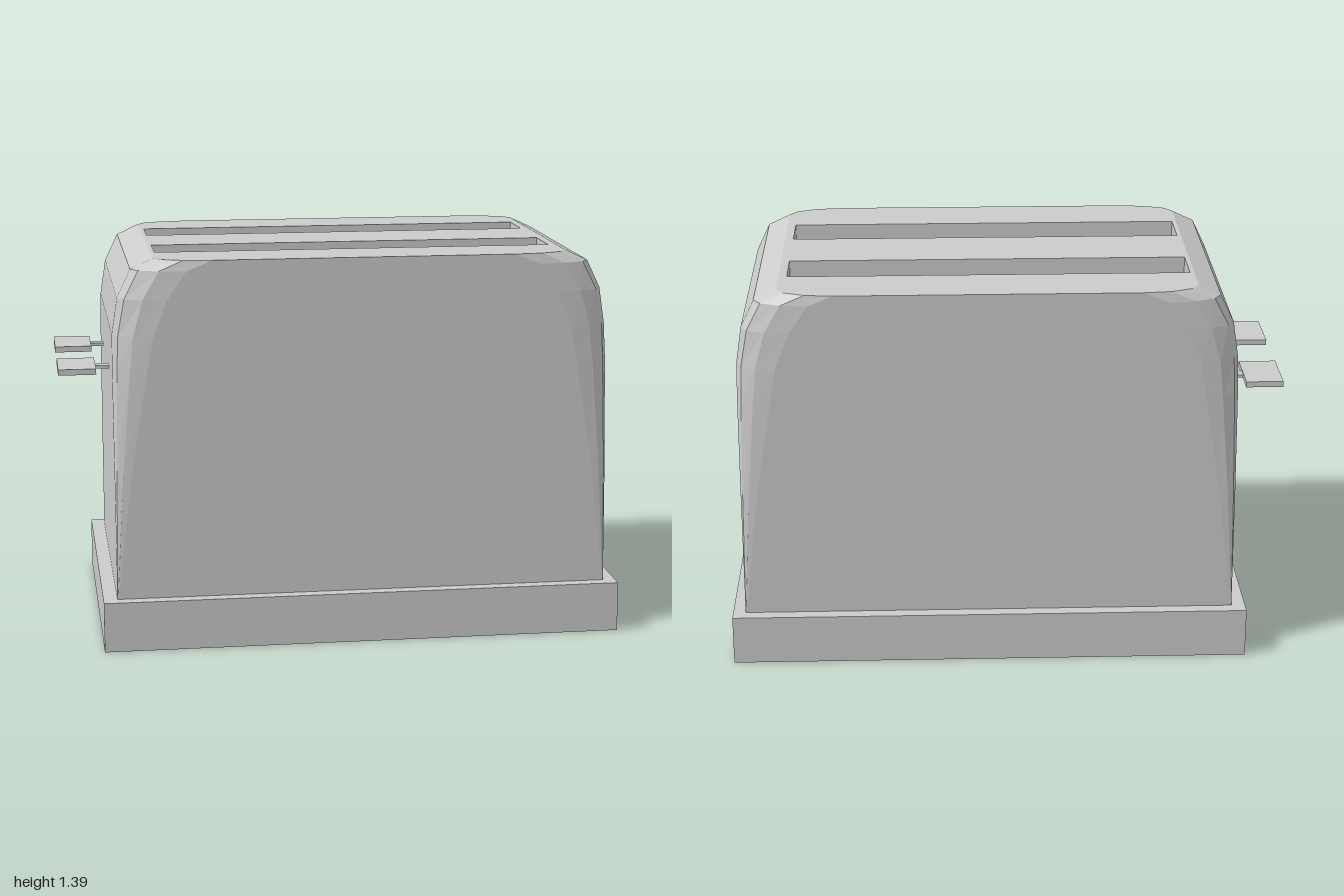
import * as THREE from 'three';

const grey = new THREE.MeshStandardMaterial({ color: 0xcccccc, flatShading: true });
const lining = new THREE.MeshStandardMaterial({ color: 0xcccccc, flatShading: true, side: THREE.DoubleSide });

const CENTRE_X = 0.07, HALF_Z = 0.53, TOP = 1.387;
const SLOT = { x0: -0.65, x1: 0.775, z0: 0.132, z1: 0.311, floor: 0.25 };

// Box given by its limits on each axis
function box(name, [x0, x1], [y0, y1], [z0, z1]) {
  const mesh = new THREE.Mesh(new THREE.BoxGeometry(x1 - x0, y1 - y0, z1 - z0), grey);
  mesh.position.set((x0 + x1) / 2, (y0 + y1) / 2, (z0 + z1) / 2);
  mesh.name = name;
  return mesh;
}

// Shell levels: height, half width, corner inset along x and along z
const LEVELS = [
  [0.17, 0.885, 0.002, 0.002],
  [0.64, 0.885, 0.06, 0.025],
  [1.0, 0.885, 0.12, 0.06],
  [1.12, 0.883, 0.14, 0.08],
  [1.25, 0.863, 0.17, 0.08],
  [1.35, 0.815, 0.19, 0.08],
  [TOP, 0.735, 0.2, 0.08],
];

// Rectangle with elliptical corners of three segments
function ring([y, halfX, cx, cz]) {
  const points = [];
  for (let corner = 0; corner < 4; corner++) {
    const sx = corner === 0 || corner === 3 ? 1 : -1;
    const sz = corner < 2 ? 1 : -1;
    for (let k = 0; k <= 3; k++) {
      const t = (corner + k / 3) * Math.PI / 2;
      points.push(new THREE.Vector3(
        CENTRE_X + sx * (halfX - cx) + cx * Math.cos(t), y,
        sz * (HALF_Z - cz) + cz * Math.sin(t)));
    }
  }
  return points;
}

// Side walls joining the rings
function shellGeometry(rings) {
  const vertices = [];
  for (let r = 0; r < rings.length - 1; r++) {
    const low = rings[r], high = rings[r + 1], n = low.length;
    for (let i = 0; i < n; i++) {
      const j = (i + 1) % n;
      vertices.push(low[i], high[i], low[j], low[j], high[i], high[j]);
    }
  }
  const geometry = new THREE.BufferGeometry().setFromPoints(vertices);
  geometry.computeVertexNormals();
  return geometry;
}

// Flat top with an opening for each slot
function topGeometry(outline) {
  const shape = new THREE.Shape(outline.map(p => new THREE.Vector2(p.x, -p.z)));
  for (const s of [1, -1]) {
    shape.holes.push(new THREE.Path([
      new THREE.Vector2(SLOT.x0, s * SLOT.z0), new THREE.Vector2(SLOT.x1, s * SLOT.z0),
      new THREE.Vector2(SLOT.x1, s * SLOT.z1), new THREE.Vector2(SLOT.x0, s * SLOT.z1),
    ]));
  }
  return new THREE.ShapeGeometry(shape).rotateX(-Math.PI / 2).translate(0, TOP, 0);
}

// Open-topped well below a slot
function slotWell(side) {
  const depth = TOP - SLOT.floor;
  const geometry = new THREE.BoxGeometry(SLOT.x1 - SLOT.x0, depth, SLOT.z1 - SLOT.z0);
  const index = Array.from(geometry.index.array);
  index.splice(12, 6); // remove the lid
  geometry.setIndex(index);
  geometry.clearGroups();
  const mesh = new THREE.Mesh(geometry, lining);
  mesh.position.set((SLOT.x0 + SLOT.x1) / 2, SLOT.floor + depth / 2, side * (SLOT.z0 + SLOT.z1) / 2);
  mesh.name = 'breadSlot';
  return mesh;
}

// Lever: thin stem and flat paddle
function lever(side) {
  const group = new THREE.Group();
  group.name = 'lever';
  const span = (a, b) => (side > 0 ? [a, b] : [-b, -a]);
  group.add(
    box('leverPaddle', [-1, -0.865], [0.955, 0.976], span(0.114, 0.329)),
    box('leverStem', [-0.865, -0.8], [0.96, 0.971], span(0.2, 0.243)));
  return group;
}

export function createModel() {
  const model = new THREE.Group();
  model.name = 'toaster';

  model.add(box('base', [-0.865, 1], [0, 0.18], [-0.575, 0.575]));

  const rings = LEVELS.map(ring);
  const shell = new THREE.Mesh(shellGeometry(rings), grey);
  shell.name = 'shell';
  const top = new THREE.Mesh(topGeometry(rings[rings.length - 1]), grey);
  top.name = 'topPanel';
  model.add(shell, top);

  for (const side of [1, -1]) model.add(slotWell(side), lever(side));
  return model;
}
